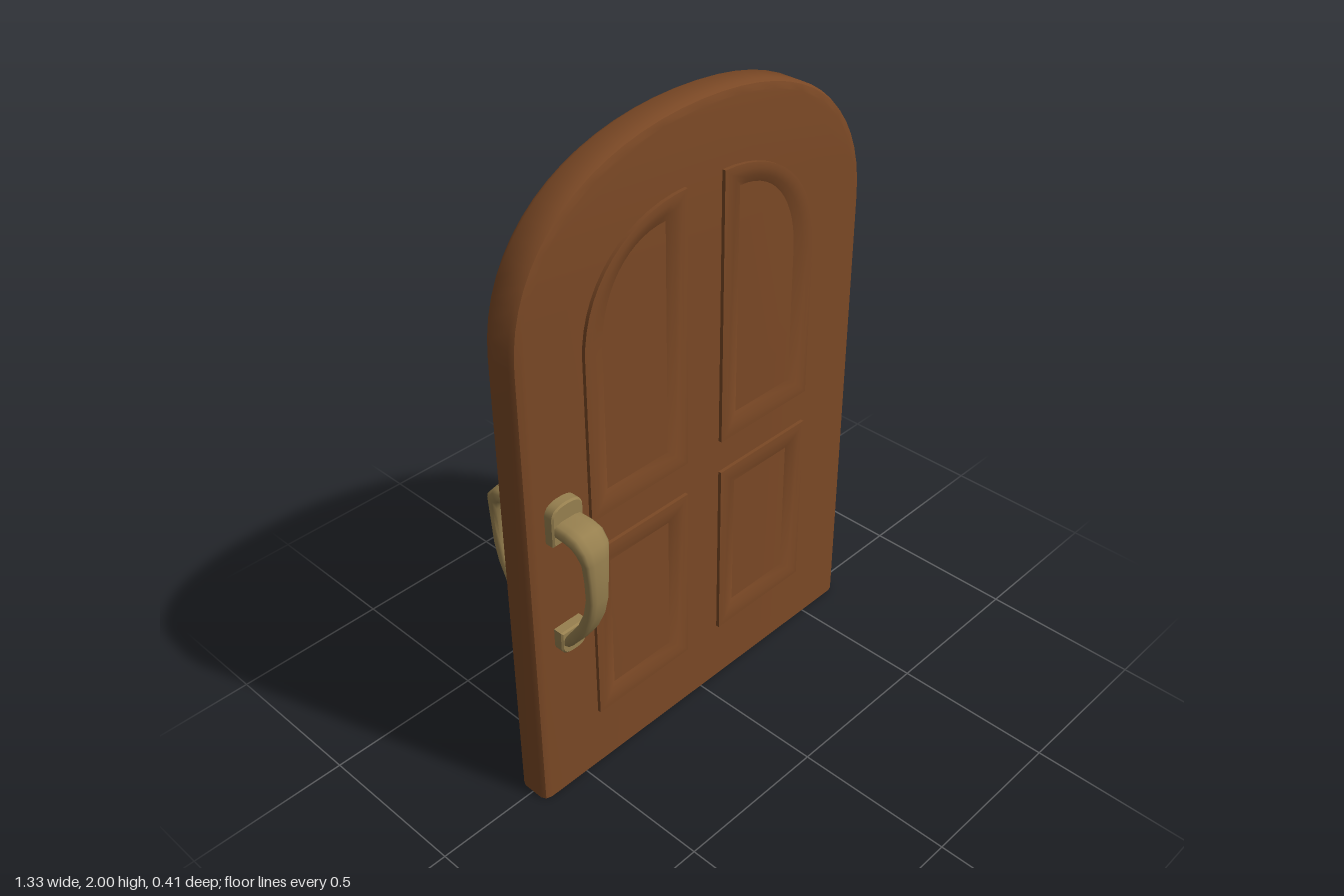
import * as THREE from 'three';
import { toCreasedNormals } from 'three/addons/utils/BufferGeometryUtils.js';

const V = (x, y, z) => new THREE.Vector3(x, y, z);

// Skin between equal-length closed loops of points
function loft(loops, crease) {
  const out = [];
  const n = loops[0].length;
  for (let i = 0; i < loops.length - 1; i++) {
    for (let j = 0; j < n; j++) {
      const k = (j + 1) % n;
      const a = loops[i][j], b = loops[i][k], c = loops[i + 1][j], d = loops[i + 1][k];
      for (const p of [a, b, c, b, d, c]) out.push(p.x, p.y, p.z);
    }
  }
  const g = new THREE.BufferGeometry();
  g.setAttribute('position', new THREE.Float32BufferAttribute(out, 3));
  return toCreasedNormals(g, crease);
}

// Arched slab with softened edges and a flat foot
function doorGeometry() {
  const s = new THREE.Shape();
  s.moveTo(-0.665, 0);
  s.lineTo(0.665, 0);
  s.lineTo(0.665, 1.49);
  s.bezierCurveTo(0.665, 1.81, 0.41, 2, 0, 2);
  s.bezierCurveTo(-0.41, 2, -0.665, 1.81, -0.665, 1.49);
  s.closePath();
  const g = new THREE.ExtrudeGeometry(s, {
    depth: 0.07, curveSegments: 16, bevelEnabled: true,
    bevelThickness: 0.02, bevelSize: 0.025, bevelOffset: -0.025, bevelSegments: 2,
  });
  g.translate(0, 0, -0.035);
  const p = g.attributes.position;
  for (let i = 0; i < p.count; i++) if (p.getY(i) < 0.03) p.setY(i, 0);
  return toCreasedNormals(g, 0.6);
}

// Panel moulding: nested outlines, arched on the outer side if asked
function mouldingGeometry(side, y0, y1, arched) {
  const outline = (inset, z) => {
    const xa = 0.07 + inset, xb = 0.443 - inset, ya = y0 + inset, yb = y1 - inset;
    const pts = [V(xa, ya, z), V(xb, ya, z)];
    if (arched) {
      const ys = 1.43;
      const curve = new THREE.CubicBezierCurve3(
        V(xb, ys, z), V(xb, ys + (yb - ys) * 0.6, z),
        V(xb - (xb - xa) * 0.42, yb, z), V(xa, yb, z));
      pts.push(...curve.getPoints(14));
    } else {
      pts.push(V(xb, yb, z), V(xa, yb, z));
    }
    if (side < 0) {
      pts.forEach((p) => { p.x *= -1; });
      pts.reverse();
    }
    return pts;
  };
  return loft([
    outline(0, 0.05), outline(0, 0.066), outline(0.02, 0.068),
    outline(0.045, 0.064), outline(0.073, 0.054),
  ], 0.6);
}

// Pull handle: rounded strap swept along a bent path
function gripGeometry() {
  // y, z, width, thickness
  const stations = [
    [0.983, 0.06, 0.1, 0.05], [0.983, 0.125, 0.105, 0.05], [0.977, 0.155, 0.105, 0.05],
    [0.955, 0.177, 0.1, 0.046], [0.92, 0.185, 0.085, 0.038], [0.86, 0.187, 0.075, 0.036],
    [0.79, 0.186, 0.068, 0.036], [0.73, 0.173, 0.065, 0.036], [0.67, 0.146, 0.064, 0.035],
    [0.62, 0.112, 0.068, 0.034], [0.592, 0.09, 0.08, 0.034], [0.583, 0.06, 0.08, 0.034],
  ];
  const loops = stations.map(([y, z, w, t], i) => {
    const a = stations[Math.max(i - 1, 0)];
    const b = stations[Math.min(i + 1, stations.length - 1)];
    const len = Math.hypot(b[0] - a[0], b[1] - a[1]);
    const ty = (b[0] - a[0]) / len, tz = (b[1] - a[1]) / len;
    const ring = [];
    for (let k = 0; k < 12; k++) {
      // Squared-off oval section
      const c = Math.cos((k + 0.5) * Math.PI / 6), s = Math.sin((k + 0.5) * Math.PI / 6);
      const u = Math.sign(c) * Math.abs(c) ** 0.6 * w / 2;
      const v = Math.sign(s) * Math.abs(s) ** 0.6 * t / 2;
      ring.push(V(u, y + tz * v, z - ty * v));
    }
    return ring;
  });
  return loft(loops, 1.0);
}

// Mounting plate with one rounded end
function plateGeometry(w, h) {
  const r = w / 2;
  const s = new THREE.Shape();
  s.moveTo(-r, 0);
  s.lineTo(r, 0);
  s.lineTo(r, h - r * 0.6);
  s.bezierCurveTo(r * 0.9, h - r * 0.1, r * 0.5, h, 0, h);
  s.bezierCurveTo(-r * 0.5, h, -r * 0.9, h - r * 0.1, -r, h - r * 0.6);
  s.closePath();
  const g = new THREE.ExtrudeGeometry(s, {
    depth: 0.032, curveSegments: 6, bevelEnabled: true,
    bevelThickness: 0.005, bevelSize: 0.005, bevelOffset: -0.005, bevelSegments: 1,
  });
  g.translate(0, 0, 0.05);
  return toCreasedNormals(g, 0.6);
}

export function createModel() {
  const wood = new THREE.MeshStandardMaterial({ color: 0x7a4825 });
  wood.name = 'brown wood';
  const brass = new THREE.MeshStandardMaterial({ color: 0x97804f });
  brass.name = 'aged brass';

  const model = new THREE.Group();
  model.name = 'archedDoor';
  const add = (parent, name, geometry, material) => {
    const mesh = new THREE.Mesh(geometry, material);
    mesh.name = name;
    parent.add(mesh);
    return mesh;
  };

  add(model, 'doorSlab', doorGeometry(), wood);

  // Both faces carry four mouldings and a handle on the same door edge
  for (const face of ['front', 'back']) {
    const group = new THREE.Group();
    group.name = face + 'Face';
    if (face === 'back') group.rotation.y = Math.PI;
    model.add(group);

    for (const side of [-1, 1]) {
      add(group, 'upperPanelMoulding', mouldingGeometry(side, 0.922, 1.78, true), wood);
      add(group, 'lowerPanelMoulding', mouldingGeometry(side, 0.21, 0.812, false), wood);
    }

    const handle = new THREE.Group();
    handle.name = face + 'Handle';
    handle.position.x = face === 'front' ? -0.545 : 0.545;
    group.add(handle);
    add(handle, 'grip', gripGeometry(), brass);
    add(handle, 'upperPlate', plateGeometry(0.11, 0.125), brass).position.y = 0.935;
    const lower = add(handle, 'lowerPlate', plateGeometry(0.092, 0.085), brass);
    lower.rotation.z = Math.PI;
    lower.position.y = 0.628;
  }
  return model;
}
